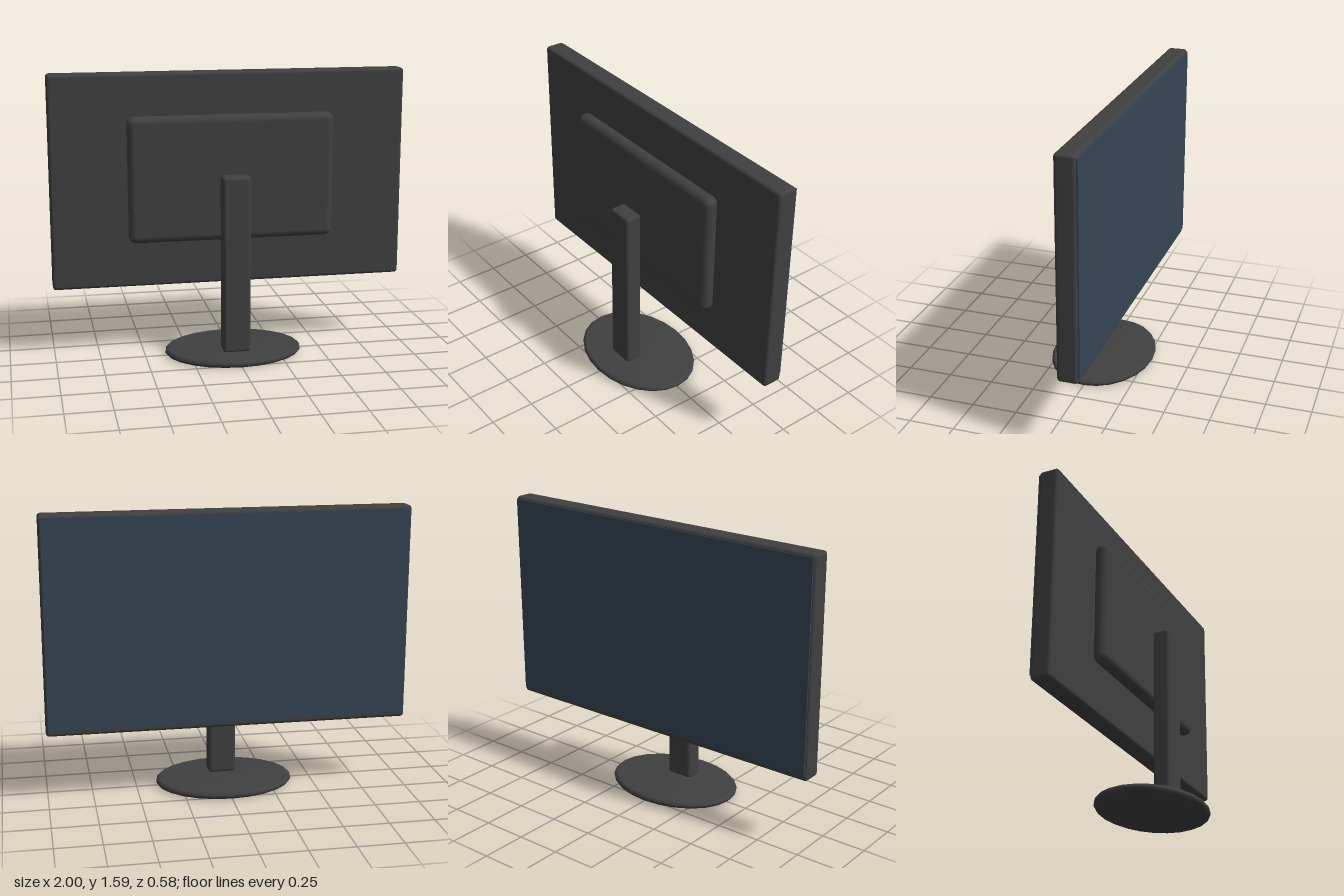
import * as THREE from 'three';
import { RoundedBoxGeometry } from 'three/addons/geometries/RoundedBoxGeometry.js';

export function createModel() {
  const group = new THREE.Group();
  const casing = new THREE.MeshStandardMaterial({ color: 0x404040 });
  casing.name = 'charcoal casing';
  const glass = new THREE.MeshStandardMaterial({ color: 0x364555 });
  glass.name = 'blue screen glass';

  const add = (name, geometry, material) => {
    const mesh = new THREE.Mesh(geometry, material);
    mesh.name = name;
    group.add(mesh);
    return mesh;
  };

  // Rounded box given by its minimum and maximum corners
  const roundedPart = (name, [x0, y0, z0], [x1, y1, z1], radius) => {
    const geometry = new RoundedBoxGeometry(x1 - x0, y1 - y0, z1 - z0, 4, radius);
    geometry.translate((x0 + x1) / 2, (y0 + y1) / 2, (z0 + z1) / 2);
    return add(name, geometry, casing);
  };

  // Display housing, rear bulge and upright
  roundedPart('displayHousing', [-1, 0.39, -0.192], [1, 1.587, -0.08], 0.018);
  roundedPart('rearCover', [-0.578, 0.652, -0.085], [0.578, 1.357, 0], 0.041);
  roundedPart('standColumn', [-0.078, 0.036, 0.036], [0.078, 1.036, 0.134], 0.018);

  // Screen on the side facing away from the column
  const screen = add('screen', new THREE.BoxGeometry(1.975, 1.148, 0.009), glass);
  screen.position.set(0, 0.998, -0.1945);

  // Oval foot with a softened rim
  const profile = [
    [0, 0], [0.366, 0], [0.378, 0.005], [0.387, 0.015],
    [0.387, 0.025], [0.378, 0.035], [0.366, 0.04], [0, 0.04],
  ].map(([x, y]) => new THREE.Vector2(x, y));
  const foot = add('ovalFoot', new THREE.LatheGeometry(profile, 24), casing);
  foot.scale.z = 0.75;

  return group;
}
